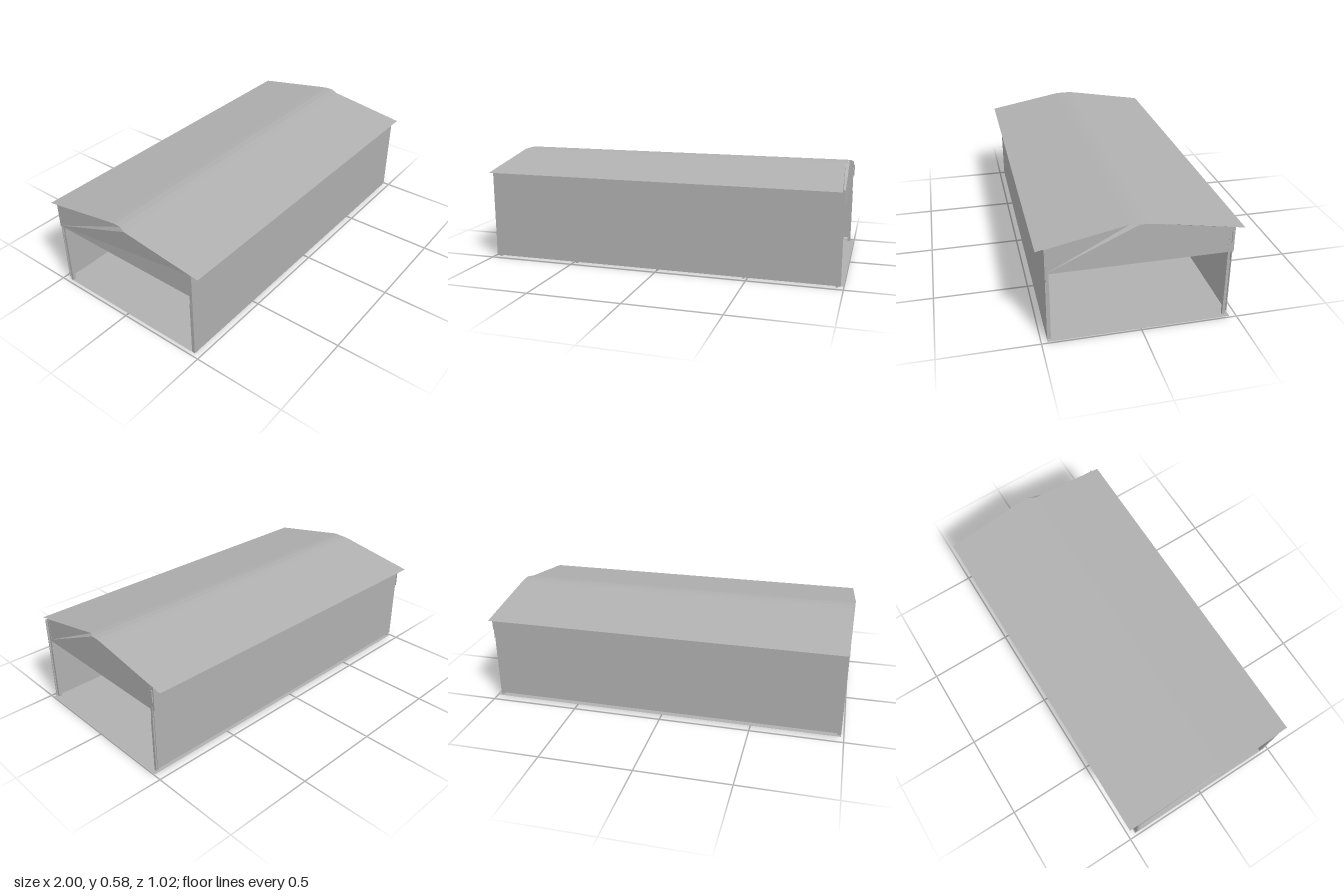
import * as THREE from 'three';

const metal = new THREE.MeshStandardMaterial({ color: 0xb0b0b0, side: THREE.DoubleSide });
metal.name = 'greySheetMetal';

export function createModel() {
  const model = new THREE.Group();
  model.name = 'shed';

  const add = (name, geometry) => {
    const mesh = new THREE.Mesh(geometry, metal);
    mesh.name = name;
    model.add(mesh);
    return mesh;
  };
  const box = (name, x0, x1, y0, y1, z0, z1) =>
    add(name, new THREE.BoxGeometry(x1 - x0, y1 - y0, z1 - z0))
      .position.set((x0 + x1) / 2, (y0 + y1) / 2, (z0 + z1) / 2);
  // Flat sheet from four or more corners, as a fan
  const sheet = (name, corners) => {
    const index = [];
    for (let i = 1; i < corners.length - 1; i++) index.push(0, i, i + 1);
    const g = new THREE.BufferGeometry();
    g.setAttribute('position', new THREE.Float32BufferAttribute(corners.flat(), 3));
    g.setIndex(index);
    const flat = g.toNonIndexed();
    flat.computeVertexNormals();
    add(name, flat);
  };

  // Thin floor, reaching a little past the +x opening
  sheet('floor', [[-0.985, 0.008, 0.47], [1, 0.008, 0.47], [1, 0.008, -0.46], [-0.985, 0.008, -0.46]]);

  // Long side walls
  box('frontWall', -0.985, 0.985, 0.008, 0.505, 0.466, 0.47);
  box('backWall', -0.985, 0.975, 0.024, 0.507, -0.454, -0.45);

  // Roof cross-section: z, y, and the skew of the sheet ends at that line
  const roof = [
    [0.51, 0.501, 0, 0], [0.06, 0.578, -0.014, -0.02], [0.02, 0.583, 0, 0],
    [-0.02, 0.583, 0, 0], [-0.06, 0.578, 0, 0], [-0.51, 0.501, 0, 0],
  ];
  const names = ['frontRoofSlope', 'frontRidgeBend', 'ridgeCap', 'backRidgeBend', 'backRoofSlope'];
  const left = ([z, y, l]) => [-0.986 + l, y, z];
  const right = ([z, y, , r]) => [0.975 + r, y, z];
  for (let i = 0; i < 5; i++) {
    const a = roof[i], b = roof[i + 1];
    sheet(names[i], [left(a), right(a), right(b), left(b)]);
  }

  // Gable sheets with a straight lower edge above each opening
  const gable = [
    [0.47, 0.375], [0.47, 0.507], [0.06, 0.577], [0.02, 0.582],
    [-0.02, 0.582], [-0.06, 0.577], [-0.46, 0.509], [-0.46, 0.375],
  ];
  for (const [name, x, lean] of [['rightGable', 0.975, -0.02], ['leftGable', -0.985, -0.014]]) {
    const pts = gable.map(([z, y], i) => [x + (i === 2 ? lean : 0), y, z]);
    sheet(name, name === 'rightGable' ? pts : pts.reverse());
  }

  // Corner posts with narrower heads
  for (const [side, x0, x1] of [['right', 0.962, 0.978], ['left', -0.983, -0.967]]) {
    for (const [end, z0, z1] of [['Front', 0.45, 0.465], ['Back', -0.445, -0.43]]) {
      box(side + end + 'Post', x0, x1, 0.004, 0.326, z0, z1);
      box(side + end + 'PostHead', x0 + 0.002, x1 - 0.002, 0.326, 0.5, z0 + 0.001, z1 - 0.001);
    }
  }

  // Rails inside the walls
  box('frontRail', -0.967, 0.962, 0.36, 0.372, 0.455, 0.465);
  box('backRail', -0.967, 0.962, 0.36, 0.372, -0.449, -0.439);

  // Small feet along both long sides
  for (const x of [-0.965, -0.48, 0, 0.48, 0.965]) {
    box('frontFoot', x - 0.006, x + 0.006, 0, 0.008, 0.452, 0.466);
    box('backFoot', x - 0.006, x + 0.006, 0, 0.008, -0.446, -0.432);
  }

  // Bracket at the back corner of the right gable
  box('gableBracket', 0.976, 0.982, 0.425, 0.49, -0.455, -0.445);

  return model;
}
